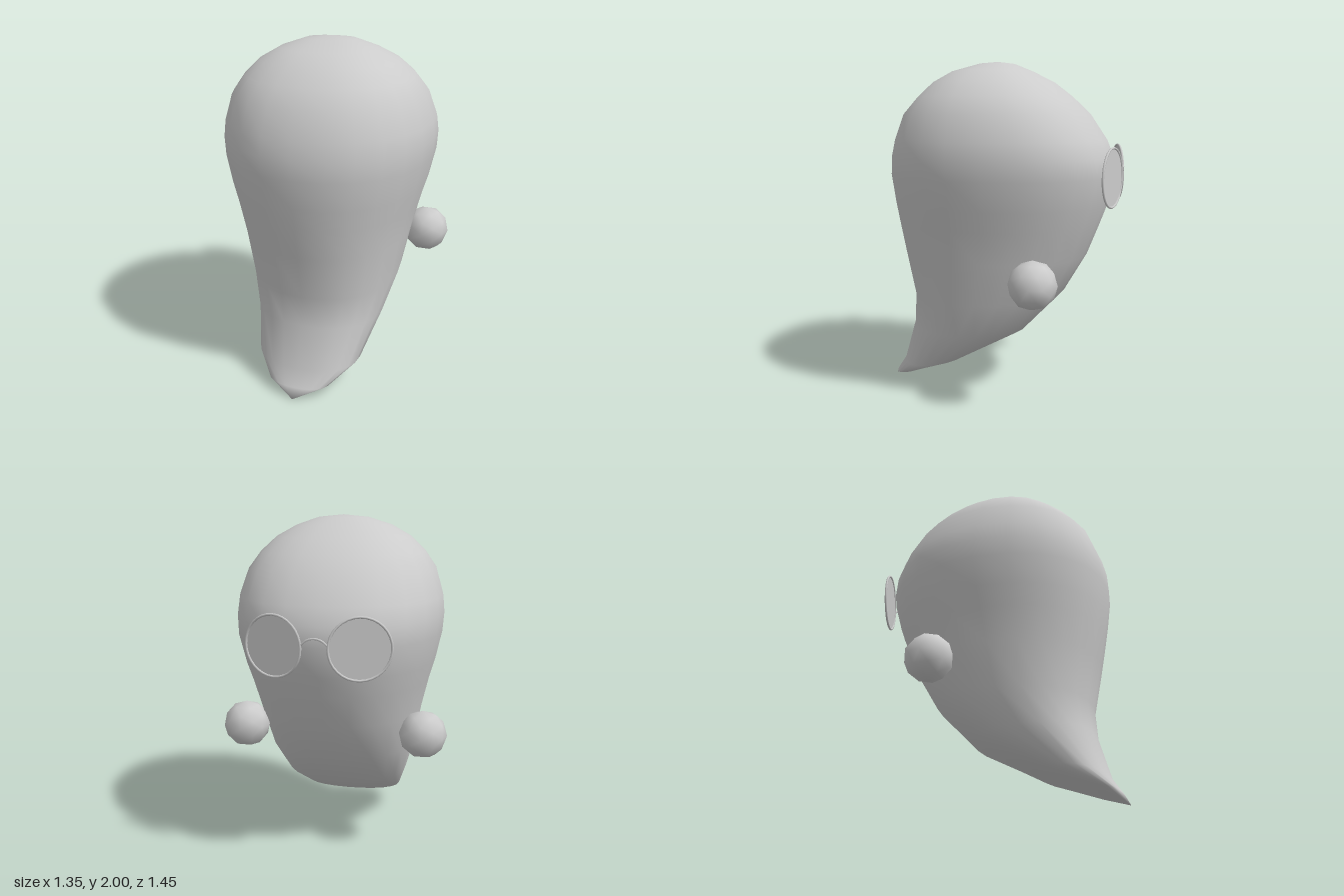
import * as THREE from 'three';
import { mergeVertices } from 'three/addons/utils/BufferGeometryUtils.js';

const SEGMENTS = 24;

// Body cross-sections, top to tail: [front z, front y, back z, back y, half width]
const RINGS = [
  [0.15, 1.985, -0.07, 1.985, 0.15],
  [0.31, 1.94, -0.18, 1.94, 0.285],
  [0.425, 1.875, -0.31, 1.875, 0.40],
  [0.515, 1.79, -0.42, 1.79, 0.49],
  [0.6, 1.69, -0.525, 1.69, 0.56],
  [0.655, 1.54, -0.625, 1.54, 0.605],
  [0.677, 1.44, -0.665, 1.44, 0.615],
  [0.683, 1.33, -0.68, 1.33, 0.607],
  [0.66, 1.16, -0.635, 1.16, 0.57],
  [0.64, 1.04, -0.59, 1.04, 0.535],
  [0.605, 0.85, -0.515, 0.85, 0.49],
  [0.55, 0.58, -0.38, 0.62, 0.445],
  [0.56, 0.4, -0.15, 0.38, 0.385],
  [0.63, 0.15, 0.2, 0.2, 0.315],
  [0.69, 0.06, 0.5, 0.09, 0.19],
];

const soften = (v) => Math.sign(v) * Math.abs(v) ** 0.9;

// Slightly squared rings lofted between a crown point and a tail tip
function bodyGeometry() {
  const positions = [0, 2, 0.04];
  const indices = [];
  for (const [zf, yf, zb, yb, w] of RINGS) {
    for (let j = 0; j < SEGMENTS; j++) {
      const a = (j / SEGMENTS) * Math.PI * 2;
      const c = soften(Math.cos(a));
      positions.push(
        w * soften(Math.sin(a)),
        (yf + yb) / 2 + ((yf - yb) / 2) * c,
        (zf + zb) / 2 + ((zf - zb) / 2) * c,
      );
    }
  }
  positions.push(0, 0, 0.72);
  const tip = positions.length / 3 - 1;
  const id = (i, j) => 1 + i * SEGMENTS + (j % SEGMENTS);
  const last = RINGS.length - 1;
  for (let j = 0; j < SEGMENTS; j++) {
    indices.push(0, id(0, j), id(0, j + 1));
    for (let i = 0; i < last; i++) {
      indices.push(id(i, j), id(i + 1, j), id(i + 1, j + 1));
      indices.push(id(i, j), id(i + 1, j + 1), id(i, j + 1));
    }
    indices.push(id(last, j), tip, id(last, j + 1));
  }
  const geometry = new THREE.BufferGeometry();
  geometry.setAttribute('position', new THREE.Float32BufferAttribute(positions, 3));
  geometry.setIndex(indices);
  geometry.computeVertexNormals();
  return geometry;
}

export function createModel() {
  const model = new THREE.Group();
  const grey = new THREE.MeshStandardMaterial({ color: 0xcccccc });
  const thin = new THREE.MeshStandardMaterial({ color: 0xcccccc, side: THREE.DoubleSide });
  const add = (parent, name, geometry, material = grey) => {
    const mesh = new THREE.Mesh(geometry, material);
    mesh.name = name;
    parent.add(mesh);
    return mesh;
  };

  add(model, 'body', bodyGeometry());

  // Floating round hands
  const handGeometry = new THREE.IcosahedronGeometry(0.14, 1);
  handGeometry.deleteAttribute('uv');
  const hand = mergeVertices(handGeometry);
  for (const [side, name] of [[1, 'leftHand'], [-1, 'rightHand']]) {
    add(model, name, hand).position.set(side * 0.533, 0.765, -0.27);
  }

  // Round spectacles: two angled lenses with thin rims
  const glasses = new THREE.Group();
  glasses.name = 'glasses';
  model.add(glasses);
  for (const [side, name] of [[1, 'left'], [-1, 'right']]) {
    const eyepiece = new THREE.Group();
    eyepiece.name = name + 'Eyepiece';
    eyepiece.position.set(side * 0.235, 1.335, -0.675);
    eyepiece.rotation.y = side * -0.262;
    glasses.add(eyepiece);
    add(eyepiece, name + 'Lens', new THREE.CircleGeometry(0.168, 32), thin);
    add(eyepiece, name + 'Rim', new THREE.TorusGeometry(0.168, 0.007, 6, 32));
  }

  // Arched bridge between the rims
  const arch = new THREE.CatmullRomCurve3([
    new THREE.Vector3(-0.07, 1.355, -0.718),
    new THREE.Vector3(-0.04, 1.38, -0.72),
    new THREE.Vector3(0, 1.39, -0.72),
    new THREE.Vector3(0.04, 1.38, -0.72),
    new THREE.Vector3(0.07, 1.355, -0.718),
  ]);
  add(glasses, 'bridge', new THREE.TubeGeometry(arch, 12, 0.006, 6));

  return model;
}
